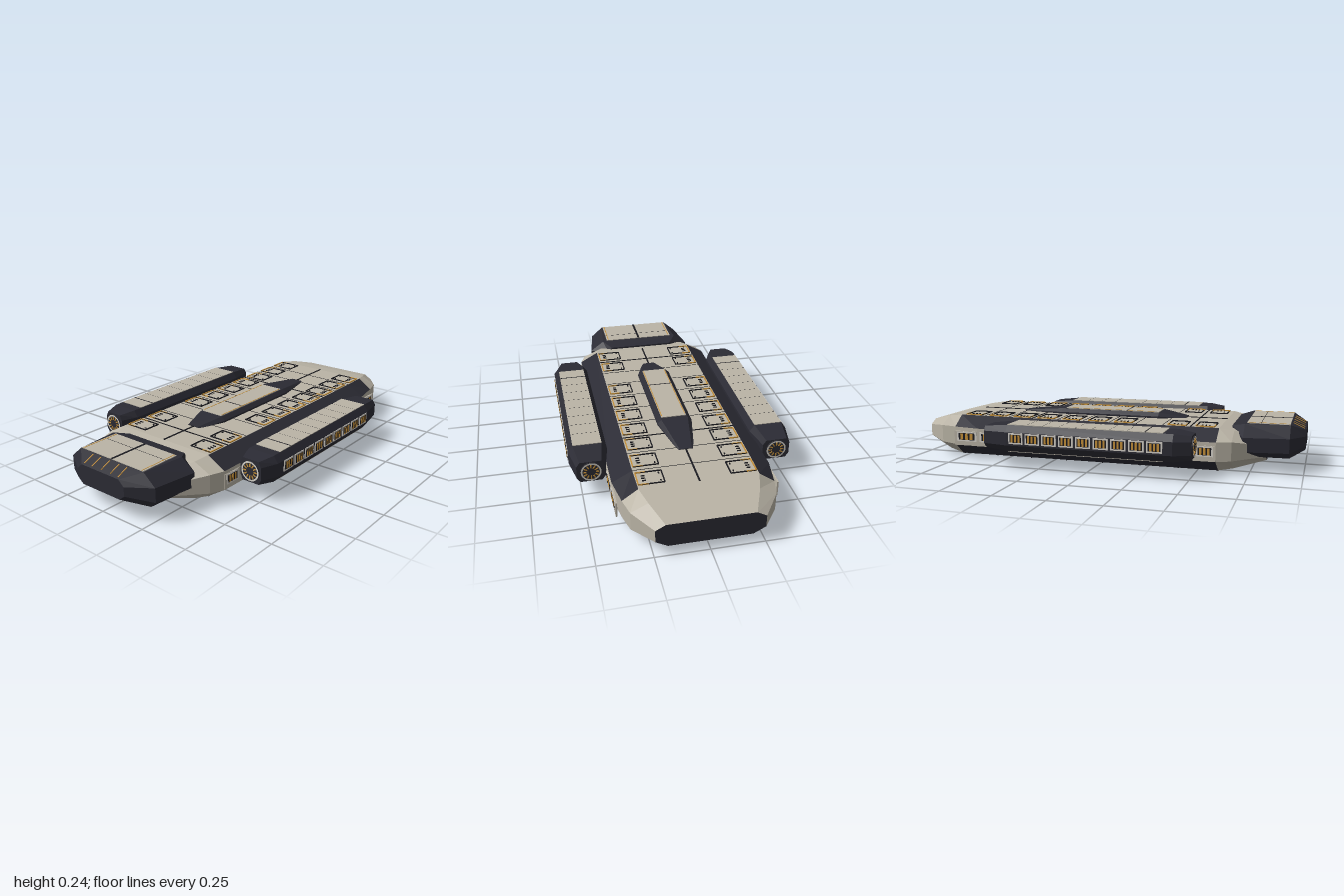
import * as THREE from 'three';

const mat = (name, color) => {
  const m = new THREE.MeshStandardMaterial({ color });
  m.name = name;
  return m;
};

export function createModel() {
  const plating = mat('warm grey plating', 0xbab4a6);
  const armour = mat('dark armour', 0x2b2b34);
  const seamMat = mat('seam black', 0x1b1b20);
  const amber = mat('amber light', 0xc8923a);
  const trim = mat('pale trim', 0xd6d2ca);
  const root = new THREE.Group();
  root.name = 'carrierShip';

  const group = (name, parent = root) => {
    const g = new THREE.Group();
    g.name = name;
    parent.add(g);
    return g;
  };
  const box = (parent, name, m, w, h, d, x, y, z) => {
    const b = new THREE.Mesh(new THREE.BoxGeometry(w, h, d), m);
    b.name = name;
    b.position.set(x, y, z);
    parent.add(b);
    return b;
  };

  // Octagonal section: half widths at bottom, middle and top, then four heights
  const ring = ([z, b, m, t, y0, y1, y2, y3]) =>
    [[b, y0], [m, y1], [m, y2], [t, y3], [-t, y3], [-m, y2], [-m, y1], [-b, y0]]
      .map(([x, y]) => [x, y, z]);

  // Faceted loft; pick(segment, side) returns 0 for plating, 1 for armour
  // Sides: 0/6 lower chamfers, 1/5 walls, 2/4 upper chamfers, 3 top, 7 bottom
  const loft = (parent, name, sections, pick) => {
    const rings = sections.map(ring);
    const buckets = [[], []];
    for (let i = 0; i < rings.length - 1; i++) {
      for (let j = 0; j < 8; j++) {
        const k = (j + 1) % 8;
        const [a, b, c, d] = [rings[i][j], rings[i][k], rings[i + 1][k], rings[i + 1][j]];
        buckets[pick(i, j)].push(...a, ...b, ...c, ...a, ...c, ...d);
      }
    }
    const first = rings[0], last = rings[rings.length - 1];
    for (let j = 1; j < 7; j++) {
      buckets[1].push(...last[0], ...last[j], ...last[j + 1]);
      buckets[1].push(...first[0], ...first[j + 1], ...first[j]);
    }
    const geo = new THREE.BufferGeometry();
    geo.setAttribute('position', new THREE.Float32BufferAttribute(buckets.flat(), 3));
    geo.addGroup(0, buckets[0].length / 3, 0);
    geo.addGroup(buckets[0].length / 3, buckets[1].length / 3, 1);
    geo.computeVertexNormals();
    const mesh = new THREE.Mesh(geo, [plating, armour]);
    mesh.name = name;
    parent.add(mesh);
    return mesh;
  };

  // Main hull with dark chamfers along its middle
  loft(root, 'hull', [
    [-1.0, 0.19, 0.245, 0.20, 0.055, 0.085, 0.145, 0.17],
    [-0.88, 0.25, 0.33, 0.25, 0.02, 0.07, 0.16, 0.2],
    [-0.79, 0.28, 0.352, 0.277, 0.004, 0.066, 0.16, 0.213],
    [-0.65, 0.28, 0.376, 0.28, 0.004, 0.066, 0.16, 0.213],
    [0.6, 0.28, 0.376, 0.28, 0.004, 0.066, 0.16, 0.213],
    [0.67, 0.26, 0.35, 0.26, 0.015, 0.068, 0.16, 0.2],
    [0.82, 0.16, 0.23, 0.16, 0.045, 0.076, 0.13, 0.16],
  ], (i, j) => ((i === 2 || i === 3) && j % 2 === 0 ? 1 : 0));

  // Deck seams
  const deck = group('deckSeams');
  const deckY = 0.214;
  box(deck, 'rearCentreSeam', seamMat, 0.008, 0.004, 0.27, 0, deckY, -0.655);
  box(deck, 'frontCentreSeam', seamMat, 0.008, 0.004, 0.21, 0, deckY, 0.495);
  for (const z of [-0.375, 0.46]) box(deck, 'crossSeam', seamMat, 0.56, 0.004, 0.005, 0, deckY, z);
  for (const z of [-0.65, -0.51, -0.235, -0.095, 0.045, 0.185, 0.32])
    box(deck, 'fineSeam', seamMat, 0.56, 0.003, 0.0012, 0, deckY - 0.0005, z);

  // Belly seams
  const belly = group('bellySeams');
  for (const x of [-0.14, 0, 0.14]) box(belly, 'longSeam', seamMat, x ? 0.002 : 0.006, 0.004, 1.38, x, 0.003, -0.1);
  for (let i = 0; i < 8; i++) box(belly, 'crossSeam', seamMat, 0.56, 0.004, 0.004, 0, 0.003, -0.78 + i * 0.197);

  // Deck hatches: dark and amber outline with small slots
  for (const s of [-1, 1]) {
    for (const z of [-0.72, -0.58, -0.44, -0.305, -0.165, -0.025, 0.115, 0.39, 0.53]) {
      const h = group('deckHatch');
      h.position.set(s * 0.212, 0.216, z);
      box(h, 'innerEdge', seamMat, 0.005, 0.005, 0.092, -s * 0.06, 0, 0);
      box(h, 'outerEdge', amber, 0.005, 0.005, 0.092, s * 0.06, 0, 0);
      for (const e of [-1, 1]) {
        box(h, 'endEdge', seamMat, 0.12, 0.005, 0.004, 0, 0, e * 0.045);
        box(h, 'endLight', amber, 0.045, 0.006, 0.004, s * 0.035, 0, e * 0.045);
      }
      for (const dz of [-0.018, 0, 0.018]) box(h, 'slot', seamMat, 0.018, 0.004, 0.005, s * 0.03, 0, dz);
      for (const dz of [-0.028, 0.028]) box(h, 'cornerMark', seamMat, 0.006, 0.004, 0.008, -s * 0.045, 0, dz);
    }
  }

  // Raised central spine
  const spine = group('spine');
  loft(spine, 'spineBody', [
    [-0.53, 0.04, 0.04, 0.03, 0.2, 0.205, 0.21, 0.216],
    [-0.29, 0.088, 0.088, 0.068, 0.2, 0.205, 0.222, 0.24],
    [0.25, 0.088, 0.088, 0.068, 0.2, 0.205, 0.222, 0.24],
    [0.39, 0.04, 0.04, 0.03, 0.2, 0.205, 0.21, 0.218],
  ], () => 1);
  box(spine, 'spinePanel', plating, 0.128, 0.005, 0.52, 0, 0.241, -0.01);
  box(spine, 'spineSeam', seamMat, 0.128, 0.004, 0.005, 0, 0.2425, 0.075);
  for (const x of [-0.06, 0.06]) box(spine, 'spineLight', amber, 0.004, 0.004, 0.5, x, 0.2425, -0.01);

  // Bow module
  const bow = group('bowModule');
  loft(bow, 'bowBody', [
    [0.65, 0.17, 0.2, 0.18, 0.1, 0.13, 0.18, 0.213],
    [0.715, 0.26, 0.3, 0.225, 0.078, 0.105, 0.175, 0.23],
    [0.93, 0.24, 0.27, 0.205, 0.076, 0.105, 0.175, 0.23],
    [1.0, 0.12, 0.15, 0.12, 0.1, 0.125, 0.17, 0.198],
  ], () => 1);
  box(bow, 'bowPanel', plating, 0.4, 0.005, 0.205, 0, 0.231, 0.825);
  box(bow, 'bowCentreSeam', seamMat, 0.012, 0.004, 0.205, 0, 0.2325, 0.825);
  box(bow, 'bowCrossSeam', seamMat, 0.4, 0.004, 0.002, 0, 0.232, 0.79);
  for (const x of [-0.19, 0.19]) box(bow, 'bowPanelLight', amber, 0.004, 0.004, 0.2, x, 0.2325, 0.825);
  for (const x of [-0.11, -0.06, 0, 0.06, 0.11]) {
    const light = box(bow, 'bowLight', amber, 0.004, 0.004, 0.06, x, 0.215, 0.964);
    light.rotation.x = Math.atan2(0.032, 0.07);
  }

  // Row of framed windows on a wall facing sideways (s = side)
  const windows = (parent, s, x, y, h, z0, z1, n) => {
    const step = (z1 - z0) / n;
    for (let i = 0; i < n; i++) {
      const z = z0 + (i + 0.5) * step, w = step * 0.86;
      box(parent, 'windowFrame', trim, 0.006, h, w, s * x, y, z);
      box(parent, 'windowPane', seamMat, 0.007, h * 0.72, w * 0.8, s * (x + 0.001), y, z);
      for (const k of [-0.24, 0, 0.24])
        box(parent, 'windowLight', amber, 0.007, h * 0.66, w * 0.14, s * (x + 0.002), y, z + k * w);
    }
  };

  // Engine face: dark disc, pale ring and amber spokes
  const engineFace = (parent, z, dir) => {
    const g = group('engineFace', parent);
    g.position.set(0, 0.152, z);
    if (dir < 0) g.rotation.y = Math.PI;
    const disc = new THREE.Mesh(new THREE.CylinderGeometry(0.05, 0.05, 0.008, 32), armour);
    disc.name = 'engineDisc';
    disc.rotation.x = Math.PI / 2;
    const rim = new THREE.Mesh(new THREE.RingGeometry(0.041, 0.049, 32), trim);
    rim.name = 'engineRing';
    rim.position.z = 0.005;
    g.add(disc, rim);
    for (let i = 0; i < 12; i++) {
      const a = (i / 12) * Math.PI * 2;
      const spoke = box(g, 'engineSpoke', amber, 0.017, 0.006, 0.004, Math.cos(a) * 0.03, Math.sin(a) * 0.03, 0.004);
      spoke.rotation.z = a;
    }
  };

  for (const s of [-1, 1]) {
    // Side pods
    const pod = group(s > 0 ? 'leftPod' : 'rightPod');
    pod.position.x = s * 0.455;
    loft(pod, 'podBody', [
      [-0.53, 0.052, 0.068, 0.052, 0.098, 0.12, 0.182, 0.205],
      [-0.4, 0.07, 0.094, 0.07, 0.087, 0.12, 0.185, 0.218],
      [0.43, 0.07, 0.094, 0.07, 0.087, 0.12, 0.185, 0.218],
      [0.51, 0.045, 0.058, 0.045, 0.095, 0.12, 0.182, 0.208],
    ], () => 1);
    box(pod, 'podTopPanel', plating, 0.14, 0.005, 0.78, 0, 0.2185, -0.01);
    box(pod, 'podBottomPanel', plating, 0.138, 0.005, 0.78, 0, 0.0865, -0.01);
    box(pod, 'podSeam', seamMat, 0.14, 0.004, 0.005, 0, 0.22, 0.295);
    for (let i = 0; i < 7; i++) box(pod, 'podFineSeam', seamMat, 0.14, 0.003, 0.0012, 0, 0.2198, -0.3 + i * 0.085);
    windows(pod, s, 0.094, 0.156, 0.054, -0.39, 0.39, 9);
    engineFace(pod, 0.511, 1);
    engineFace(pod, -0.531, -1);

    // Hull side gallery: pale wall plates, windows and small access ports
    const wall = group(s > 0 ? 'leftGallery' : 'rightGallery');
    box(wall, 'wallPlate', plating, 0.008, 0.075, 1.38, s * 0.375, 0.105, -0.09);
    windows(wall, s, 0.378, 0.115, 0.05, 0.5, 0.595, 1);
    windows(wall, s, 0.378, 0.115, 0.05, -0.775, -0.51, 2);
    for (const z of [0.31, -0.09, -0.485]) {
      box(wall, 'accessPort', seamMat, 0.004, 0.024, 0.075, s * 0.379, 0.08, z);
      box(wall, 'accessDoor', plating, 0.004, 0.018, 0.067, s * 0.38, 0.08, z);
    }
    for (const z of [0.47, 0.05, -0.3]) box(wall, 'vent', seamMat, 0.004, 0.018, 0.01, s * 0.379, 0.08, z);
  }

  return root;
}
